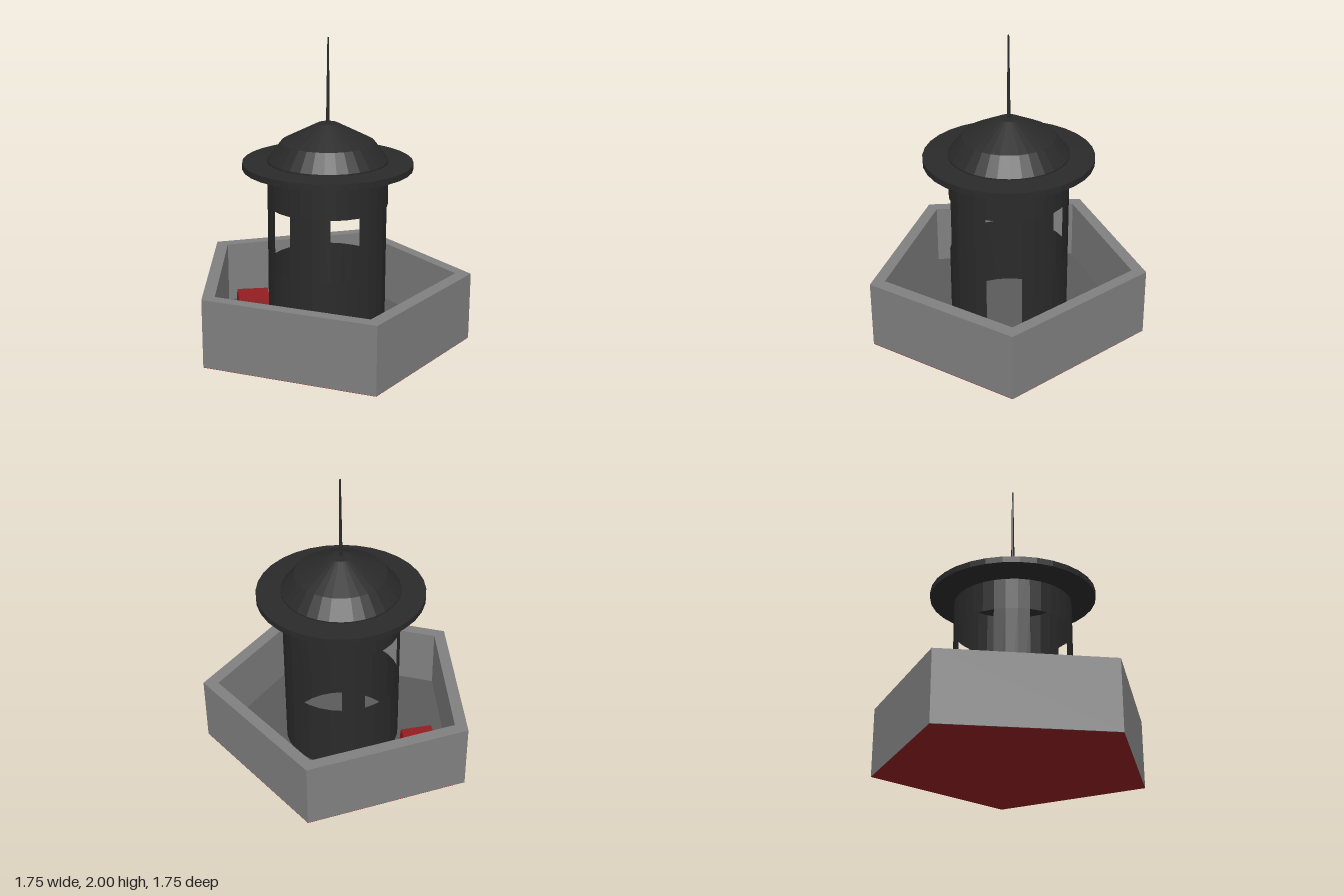
import * as THREE from 'three';

const mat = (color, flatShading = true) =>
  new THREE.MeshStandardMaterial({ color, flatShading, side: THREE.DoubleSide });
const stone = mat(0x808080), paving = mat(0x5a5a5a), iron = mat(0x2a2a2a), red = mat(0x921e20);

function add(parent, name, geometry, material, x = 0, y = 0, z = 0) {
  const mesh = new THREE.Mesh(geometry, material);
  mesh.name = name;
  mesh.position.set(x, y, z);
  parent.add(mesh);
  return mesh;
}

// Pentagon plan given as [x, z] pairs
const plan = (pts) => pts.map(([x, z]) => new THREE.Vector2(x, -z));
const OUTER = plan([[0, -0.875], [-0.875, -0.21], [-0.54, 0.875], [0.54, 0.875], [0.875, -0.21]]);
const INNER = plan([[0, -0.775], [-0.785, -0.18], [-0.485, 0.79], [0.485, 0.79], [0.785, -0.18]]);

export function createModel() {
  const model = new THREE.Group();

  // Pentagonal basin: walls, inner floor and red underside
  const basin = new THREE.Group();
  basin.name = 'basin';
  model.add(basin);
  const ring = new THREE.Shape(OUTER);
  ring.holes.push(new THREE.Path(INNER));
  const walls = new THREE.ExtrudeGeometry(ring, { depth: 0.453, bevelEnabled: false });
  add(basin, 'basinWalls', walls.rotateX(-Math.PI / 2), stone, 0, 0.002);
  const floor = new THREE.ShapeGeometry(new THREE.Shape(INNER));
  add(basin, 'basinFloor', floor.rotateX(-Math.PI / 2), paving, 0, 0.04);
  const underside = new THREE.ShapeGeometry(new THREE.Shape(OUTER));
  add(basin, 'underside', underside.rotateX(Math.PI / 2).scale(1, 1, -1), red);

  // Round tower, 32 sides, set slightly forward in the basin
  const tower = new THREE.Group();
  tower.name = 'tower';
  tower.position.set(0.012, 0, 0.095);
  model.add(tower);
  const R = 0.39, STEP = Math.PI * 2 / 32, SILL = 0.515, HEAD = 0.925, TOP = 1.21;
  // Curved wall panel covering sides a..b between two heights
  const panel = (name, a, b, y0, y1) => add(tower, name,
    new THREE.CylinderGeometry(R, R, y1 - y0, b - a, 1, true, a * STEP, (b - a) * STEP),
    iron, 0, (y0 + y1) / 2, 0);

  panel('upperWall', 0, 32, HEAD, TOP);
  // Openings as [first side, last side, sill height]; the first is the doorway
  const openings = [[1, 4, 0.003], [7, 11, SILL], [13, 17, SILL], [20, 24, SILL], [26, 30, SILL]];
  openings.forEach(([a, b, sill], i) => {
    const next = i + 1 < openings.length ? openings[i + 1][0] : openings[0][0] + 32;
    panel('pier', b, next, 0.003, HEAD);
    if (sill === SILL) panel('windowParapet', a, b, 0.003, SILL);
  });

  // Brim, dome and spire
  const lathe = (pts) => new THREE.LatheGeometry(pts.map((p) => new THREE.Vector2(...p)), 32);
  add(tower, 'brim', lathe([[R, 1.13], [0.55, 1.165], [0.55, 1.205], [R, 1.21]]), iron);
  add(tower, 'dome', lathe([[R, 1.21], [R, 1.22], [0.3, 1.335], [0.065, 1.455], [0, 1.46]]), iron);
  add(tower, 'spire', new THREE.CylinderGeometry(0.005, 0.012, 0.55, 8), iron, 0, 1.725, 0);

  // Red box standing on the basin floor behind the tower
  add(model, 'redBox', new THREE.CylinderGeometry(0.15, 0.163, 0.13, 4), red, -0.06, 0.105, -0.49);

  return model;
}
